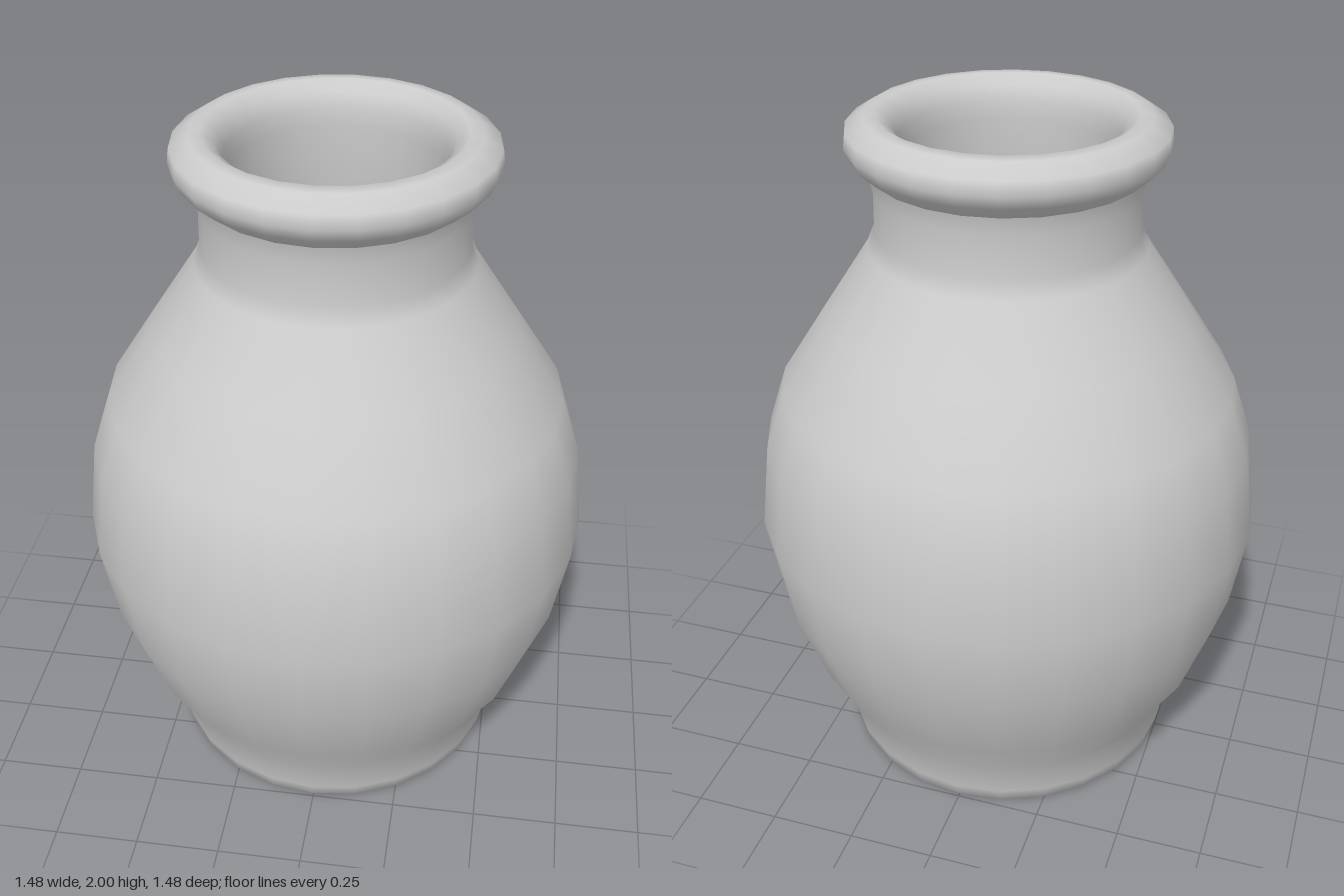
import * as THREE from 'three';

const SEGMENTS = 24;

export function createModel() {
  const group = new THREE.Group();
  group.name = 'vase';
  const material = new THREE.MeshStandardMaterial({ color: 0xcccccc });

  // Revolve a profile of [radius, height] pairs around the y axis
  const revolve = (name, profile) => {
    const points = profile.map(([r, y]) => new THREE.Vector2(r, y));
    const mesh = new THREE.Mesh(new THREE.LatheGeometry(points, SEGMENTS), material);
    mesh.name = name;
    group.add(mesh);
  };

  // Foot, belly, shoulder and neck
  revolve('body', [
    [0.475, 0], [0.5, 0.012], [0.508, 0.05], [0.53, 0.17], [0.615, 0.31],
    [0.7, 0.55], [0.742, 0.8], [0.712, 1.05], [0.655, 1.22], [0.52, 1.43],
    [0.39, 1.63], [0.37, 1.68], [0.368, 1.8], [0.38, 1.85],
  ]);

  // Rolled lip, from the outside of the neck over to the inside
  revolve('rim', [
    [0.38, 1.85], [0.425, 1.89], [0.44, 1.925], [0.435, 1.965], [0.385, 1.997],
    [0.35, 2], [0.315, 1.975], [0.298, 1.93], [0.298, 1.88],
  ]);

  // Hollow inside, following the outer wall down to the floor
  revolve('innerWall', [
    [0.298, 1.88], [0.298, 1.66], [0.33, 1.6], [0.58, 1.2], [0.64, 1.03],
    [0.67, 0.8], [0.63, 0.56], [0.545, 0.33], [0.46, 0.18], [0.44, 0.08],
  ]);

  // Flat floor inside and flat underside
  const disc = (name, radius, y, up) => {
    const geometry = new THREE.CircleGeometry(radius, SEGMENTS);
    geometry.rotateX(up ? -Math.PI / 2 : Math.PI / 2);
    const mesh = new THREE.Mesh(geometry, material);
    mesh.name = name;
    mesh.position.y = y;
    group.add(mesh);
  };
  disc('innerFloor', 0.44, 0.08, true);
  disc('underside', 0.475, 0, false);

  return group;
}
